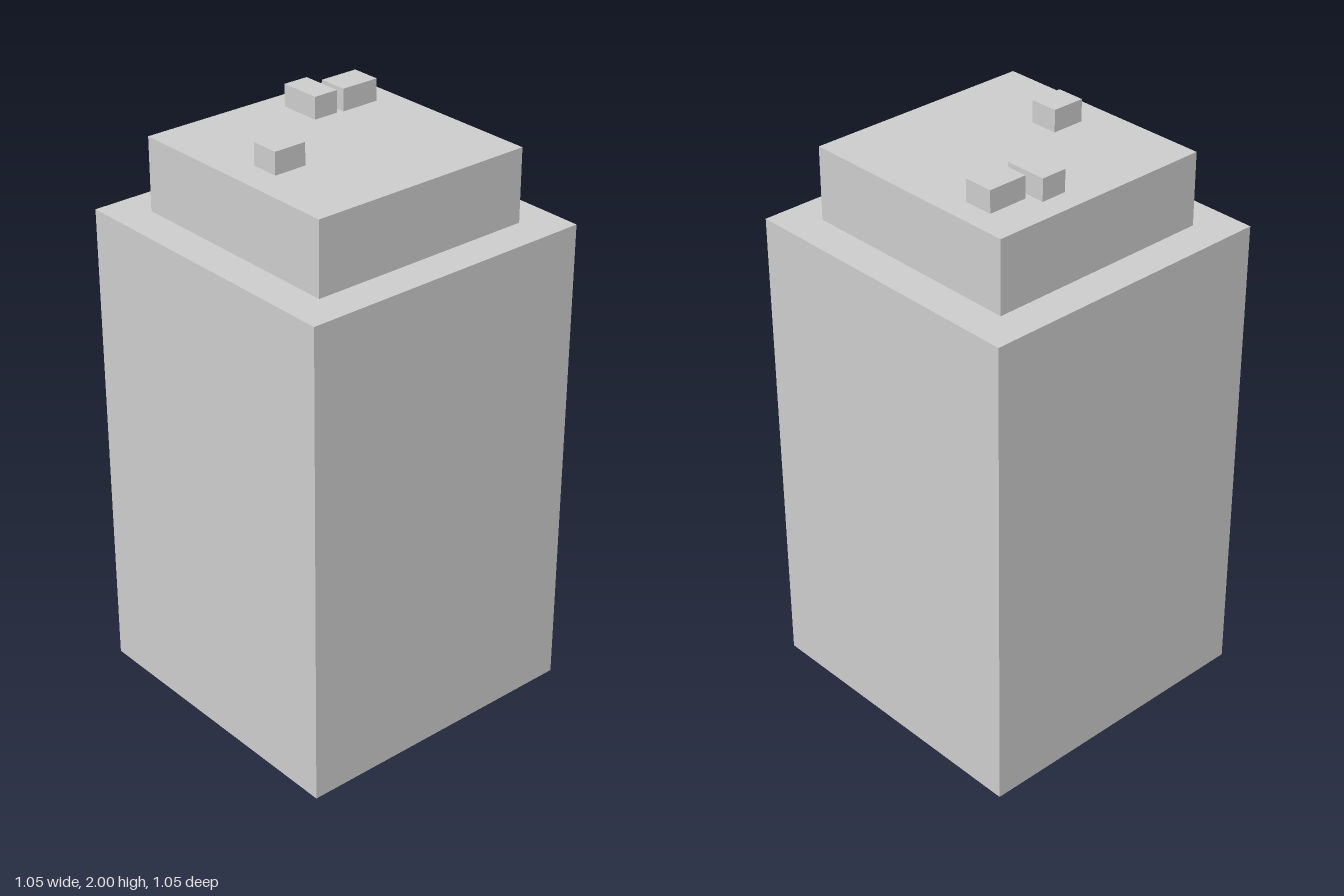
import * as THREE from 'three';

export function createModel() {
  const group = new THREE.Group();
  const concrete = new THREE.MeshStandardMaterial({ color: 0xcccccc, side: THREE.DoubleSide });
  concrete.name = 'light grey concrete';

  // Hollow block without a floor, given by its extents
  function block(name, [x0, x1], [y0, y1], [z0, z1]) {
    const box = new THREE.BoxGeometry(x1 - x0, y1 - y0, z1 - z0);
    // Drop the bottom face (fourth group of six indices)
    const index = Array.from(box.index.array);
    index.splice(18, 6);
    box.setIndex(index);
    box.clearGroups();
    const mesh = new THREE.Mesh(box, concrete);
    mesh.name = name;
    mesh.position.set((x0 + x1) / 2, (y0 + y1) / 2, (z0 + z1) / 2);
    group.add(mesh);
  }

  const bodyTop = 1.676, tierTop = 1.925, top = 2;

  // Main tower and set-back upper storey
  block('towerBody', [-0.526, 0.526], [0, bodyTop], [-0.526, 0.526]);
  block('upperStorey', [-0.402, 0.402], [bodyTop, tierTop], [-0.402, 0.402]);

  // Small roof units
  const roofUnits = [
    [[-0.271, -0.168], [-0.32, -0.182]],
    [[-0.32, -0.173], [-0.16, -0.07]],
    [[-0.015, 0.083], [0.184, 0.299]],
  ];
  roofUnits.forEach(([x, z], i) => block('roofUnit' + (i + 1), x, [tierTop, top], z));

  return group;
}
